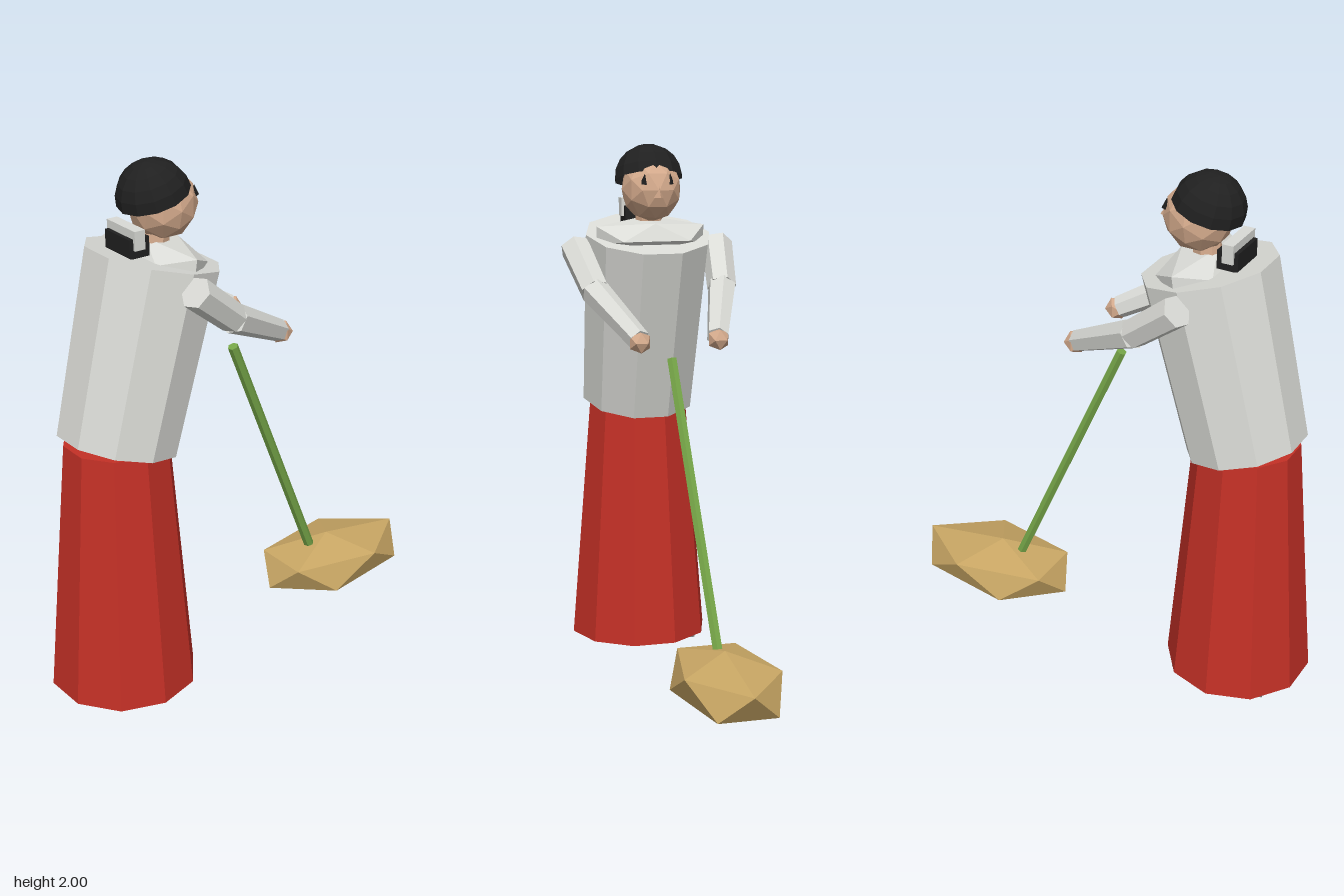
import * as THREE from 'three';
import { ConvexGeometry } from 'three/addons/geometries/ConvexGeometry.js';

const paint = (name, color, side = THREE.FrontSide) => {
  const m = new THREE.MeshStandardMaterial({ color, flatShading: true, side });
  m.name = name;
  return m;
};

export function createModel() {
  const model = new THREE.Group();
  model.name = 'sweepingWoman';

  const red = paint('skirtRed', 0xc43026);
  const cloth = paint('shirtGrey', 0xdadbd6);
  const skin = paint('skin', 0xd4aa8c);
  const black = paint('hairBlack', 0x202020, THREE.DoubleSide);
  const green = paint('handleGreen', 0x76a648);
  const straw = paint('broomStraw', 0xc8a664);
  const soleGrey = paint('soleGrey', 0x808080);

  const add = (name, geometry, material, x, y, z) => {
    const mesh = new THREE.Mesh(geometry, material);
    mesh.name = name;
    mesh.position.set(x, y, z);
    model.add(mesh);
    return mesh;
  };
  // Tapered prism between two points
  const limb = (name, a, b, ra, rb, sides, material) => {
    const start = new THREE.Vector3(...a), end = new THREE.Vector3(...b);
    const dir = end.clone().sub(start);
    const mid = start.clone().add(end).multiplyScalar(0.5);
    const mesh = add(name, new THREE.CylinderGeometry(rb, ra, dir.length(), sides), material, mid.x, mid.y, mid.z);
    mesh.quaternion.setFromUnitVectors(new THREE.Vector3(0, 1, 0), dir.normalize());
    return mesh;
  };

  // Skirt and the soles beneath it
  add('skirt', new THREE.CylinderGeometry(0.195, 0.275, 0.98, 10), red, -0.565, 0.51, 0);
  for (const dx of [-0.13, 0.13]) {
    add('sole', new THREE.BoxGeometry(0.12, 0.009, 0.31), soleGrey, -0.565 + dx, 0.018, -0.03);
  }

  // Torso leaning forward, with a faceted shoulder yoke
  limb('torso', [-0.5625, 0.99, 0], [-0.3925, 1.6575, 0], 0.2245, 0.247, 10, cloth);
  const yoke = add('shoulderYoke', new THREE.IcosahedronGeometry(1, 0), cloth, -0.36, 1.655, 0);
  yoke.scale.set(0.13, 0.07, 0.25);
  yoke.rotation.z = -0.15;

  // Bundle on the upper back
  add('backKnot', new THREE.BoxGeometry(0.08, 0.07, 0.15), black, -0.495, 1.725, 0);
  add('backKnotBand', new THREE.BoxGeometry(0.042, 0.07, 0.17), cloth, -0.499, 1.755, 0);

  // Neck and head
  limb('neck', [-0.39, 1.66, 0], [-0.375, 1.77, 0], 0.055, 0.05, 8, skin);
  const head = add('head', new THREE.IcosahedronGeometry(0.126, 1), skin, -0.345, 1.833, 0);
  head.scale.z = 0.92;
  const hair = add('hair', new THREE.SphereGeometry(0.133, 12, 5, 0, Math.PI * 2, 0, Math.PI * 0.5), black, -0.382, 1.868, 0);
  hair.rotation.z = 0.3;
  const nose = add('nose', new THREE.ConeGeometry(0.033, 0.052, 3), skin, -0.23, 1.832, 0);
  nose.rotation.y = Math.PI / 2;
  for (const s of [-1, 1]) {
    const eye = add(s > 0 ? 'leftEye' : 'rightEye', new THREE.ConeGeometry(0.02, 0.04, 3), black, -0.247, 1.875, s * 0.05);
    eye.rotation.y = Math.PI / 2;
  }

  // Bent arms reaching forward
  for (const s of [-1, 1]) {
    const side = s > 0 ? 'left' : 'right';
    const elbow = [-0.23, 1.46, s * 0.25];
    limb(side + 'UpperArm', [-0.415, 1.61, s * 0.285], elbow, 0.06, 0.056, 6, cloth);
    limb(side + 'Forearm', elbow, [0.05, 1.31, s * 0.15], 0.056, 0.042, 6, cloth);
    add(side + 'Hand', new THREE.IcosahedronGeometry(0.044, 0), skin, 0.06, 1.303, s * 0.15);
  }

  // Broom handle
  limb('broomHandle', [-0.045, 1.22, 0], [0.4, 0.17, -0.057], 0.02, 0.02, 6, green);

  // Broom head: two staggered five-point rings between a top and a bottom point
  const cx = 0.47, cz = -0.055;
  const points = [new THREE.Vector3(cx, 0.24, cz), new THREE.Vector3(cx, 0, cz)];
  for (let i = 0; i < 5; i++) {
    for (const [offset, y] of [[0, 0.185], [Math.PI / 5, 0.08]]) {
      const a = i * Math.PI * 0.4 + offset;
      const reach = Math.cos(a) < 0 ? 0.29 : 0.35;
      points.push(new THREE.Vector3(cx + Math.cos(a) * reach, y, cz + Math.sin(a) * 0.19));
    }
  }
  add('broomHead', new ConvexGeometry(points), straw, 0, 0, 0);

  return model;
}
